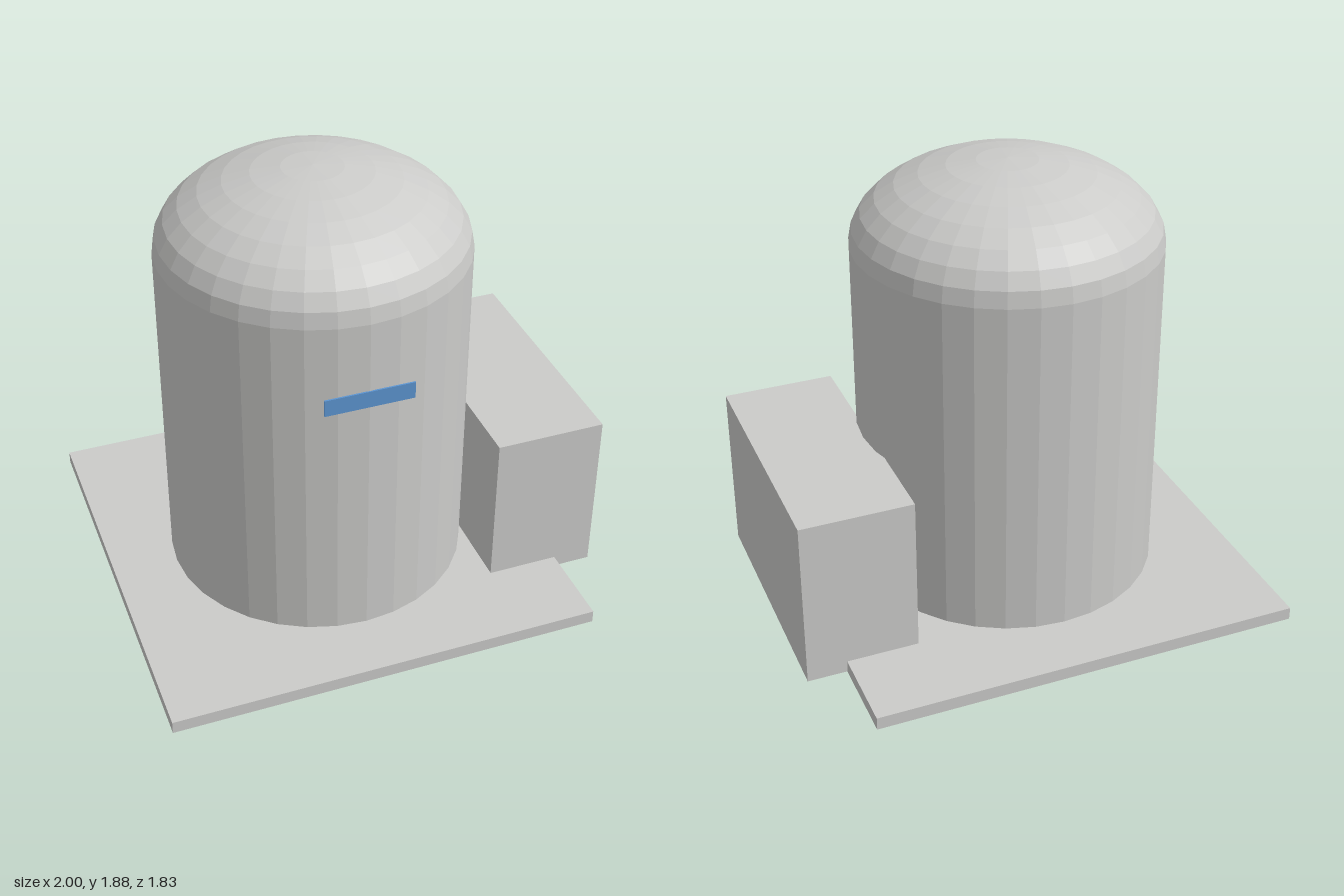
import * as THREE from 'three';

const concrete = new THREE.MeshStandardMaterial({ color: 0xcbcbc9 });
concrete.name = 'concrete grey';
concrete.flatShading = true;
const blue = new THREE.MeshStandardMaterial({ color: 0x5c94d0 });
blue.name = 'marking blue';

// Box given by its minimum and maximum corners
function block(name, min, max, material) {
  const size = max.map((v, i) => v - min[i]);
  const mesh = new THREE.Mesh(new THREE.BoxGeometry(...size), material);
  mesh.position.set(...max.map((v, i) => (v + min[i]) / 2));
  mesh.name = name;
  return mesh;
}

export function createModel() {
  const group = new THREE.Group();
  group.name = 'domedBuilding';

  // Foundation slab
  group.add(block('foundationSlab', [-1, 0, -0.915], [0.83, 0.055, 0.915], concrete));

  // Cylindrical wall closed by a half-ellipse dome
  const radius = 0.64, springing = 1.53, rise = 0.345, steps = 8;
  const profile = [new THREE.Vector2(0, 0.03), new THREE.Vector2(radius, 0.03)];
  for (let i = 0; i <= steps; i++) {
    const a = (i / steps) * Math.PI / 2;
    profile.push(new THREE.Vector2(
      i === steps ? 0 : radius * Math.cos(a), springing + rise * Math.sin(a)));
  }
  const shell = new THREE.Mesh(new THREE.LatheGeometry(profile, 32), concrete);
  shell.position.x = -0.085;
  shell.name = 'domedShell';
  group.add(shell);

  // Annex against the left side
  group.add(block('annex', [0.525, 0.005, -0.547], [0.997, 0.735, 0.547], concrete));

  // Painted band on the front
  group.add(block('frontMarking', [-0.27, 1.16, 0.638], [0.1, 1.232, 0.645], blue));

  return group;
}
